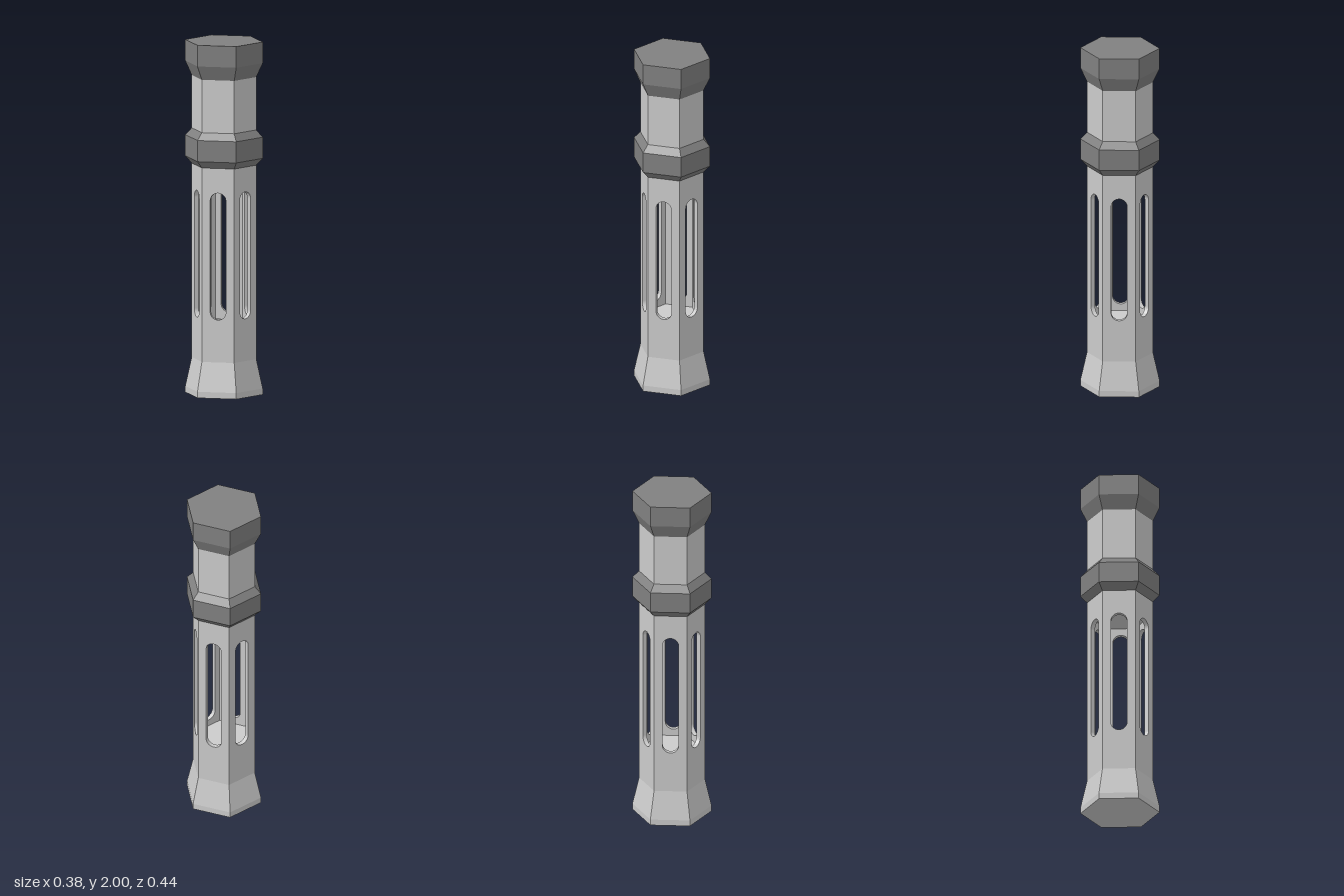
import * as THREE from 'three';

const R = 0.185, FLARE = 0.222, WALL = 0.025;
const APOTHEM = R * Math.cos(Math.PI / 6);

const light = new THREE.MeshStandardMaterial({ color: 0xcccccc, flatShading: true });
const dark = new THREE.MeshStandardMaterial({ color: 0x808080, flatShading: true });

// Hexagonal solid from a [radius, height] profile, with a corner facing the front
function hexSolid(name, profile, material) {
  const points = profile.map(([r, y]) => new THREE.Vector2(r, y));
  const mesh = new THREE.Mesh(new THREE.LatheGeometry(points, 6), material);
  mesh.name = name;
  return mesh;
}

// Flat wall panel pierced by a round-ended slot
function slottedPanel() {
  const half = R / 2, y0 = 0.2, y1 = 1.3, slotR = 0.045;
  const shape = new THREE.Shape();
  shape.moveTo(-half, y0);
  shape.lineTo(half, y0);
  shape.lineTo(half, y1);
  shape.lineTo(-half, y1);
  shape.closePath();
  const slot = new THREE.Path();
  slot.absarc(0, 1.16 - slotR, slotR, 0, Math.PI, false);
  slot.absarc(0, 0.44 + slotR, slotR, Math.PI, Math.PI * 2, false);
  slot.closePath();
  shape.holes.push(slot);
  const geometry = new THREE.ExtrudeGeometry(shape, { depth: WALL, bevelEnabled: false, curveSegments: 12 });
  return geometry.translate(0, 0, APOTHEM - WALL);
}

export function createModel() {
  const model = new THREE.Group();
  model.name = 'hexagonalHandle';

  // Flared foot
  model.add(hexSolid('foot', [[0, 0], [FLARE, 0], [FLARE, 0.035], [R, 0.2], [0, 0.2]], light));

  // Hollow grip: six slotted walls closed by a floor and a ceiling
  const grip = new THREE.Group();
  grip.name = 'slottedGrip';
  const panel = slottedPanel();
  for (let i = 0; i < 6; i++) {
    const wall = new THREE.Mesh(panel, light);
    wall.name = 'slottedWall';
    wall.rotation.y = Math.PI / 6 + i * Math.PI / 3;
    grip.add(wall);
  }
  const inner = R - WALL * 0.8;
  grip.add(hexSolid('gripFloor', [[0, 0.2], [inner, 0.2], [inner, 0.4], [0, 0.4]], light));
  grip.add(hexSolid('gripCeiling', [[0, 1.2], [inner, 1.2], [inner, 1.3], [0, 1.3]], light));
  model.add(grip);

  // Collar, neck and cap
  model.add(hexSolid('collar', [[0, 1.3], [R, 1.3], [FLARE, 1.34], [FLARE, 1.46], [R, 1.5], [0, 1.5]], dark));
  model.add(hexSolid('neck', [[R, 1.5], [R, 1.8]], light));
  model.add(hexSolid('cap', [[0, 1.8], [R, 1.8], [FLARE, 1.88], [FLARE, 2], [0, 2]], dark));
  return model;
}
